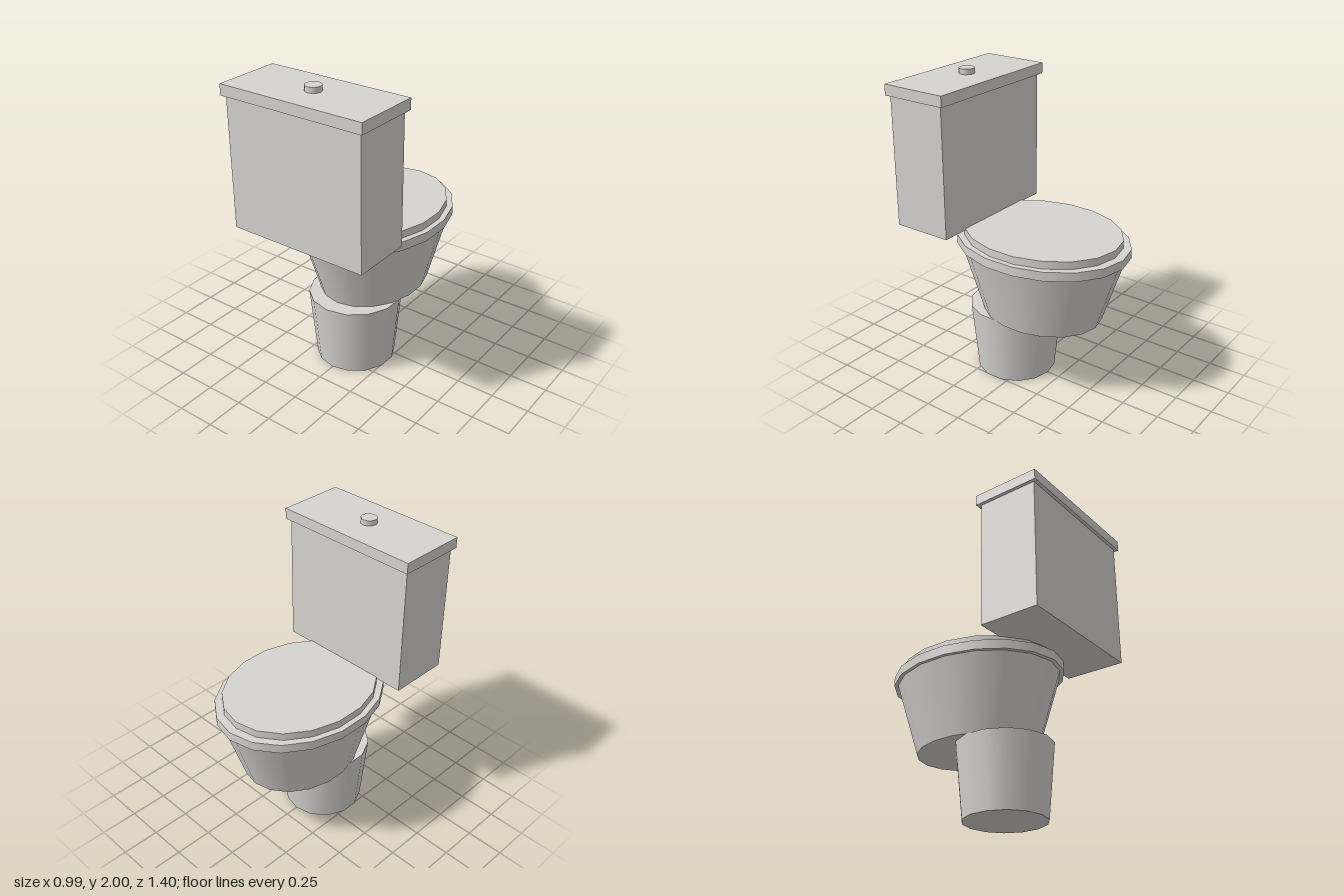
import * as THREE from 'three';

export function createModel() {
  const group = new THREE.Group();
  const ceramic = new THREE.MeshStandardMaterial({ color: 0xd6d4d1 });
  ceramic.name = 'pale ceramic';

  const add = (name, geometry, x, y, z) => {
    const mesh = new THREE.Mesh(geometry, ceramic);
    mesh.name = name;
    mesh.position.set(x, y, z);
    group.add(mesh);
  };

  // Tapered elliptical drum between two heights; stretch lengthens it along z
  const drum = (name, rTop, rBottom, y0, y1, z, sides, stretch = 1) => {
    const geometry = new THREE.CylinderGeometry(rTop, rBottom, y1 - y0, sides);
    geometry.scale(1, 1, stretch);
    add(name, geometry, 0, (y0 + y1) / 2, z);
  };

  // Box between two heights and two depths
  const block = (name, width, y0, y1, z0, z1) =>
    add(name, new THREE.BoxGeometry(width, y1 - y0, z1 - z0), 0, (y0 + y1) / 2, (z0 + z1) / 2);

  // Foot and bowl
  drum('pedestal', 0.307, 0.262, 0, 0.475, 0.102, 14);
  drum('bowl', 0.45, 0.33, 0.475, 0.945, -0.11, 18, 1.25);

  // Seat ring and closed lid
  drum('seat', 0.472, 0.472, 0.945, 1.005, -0.11, 18, 1.25);
  drum('seatLid', 0.436, 0.436, 1.005, 1.055, -0.11, 18, 1.227);

  // Cistern with its cover and flush button
  block('tank', 0.95, 1.045, 1.895, 0.283, 0.683);
  block('tankLid', 0.994, 1.895, 1.965, 0.257, 0.705);
  drum('flushButton', 0.052, 0.052, 1.965, 2.0, 0.48, 12);

  return group;
}
